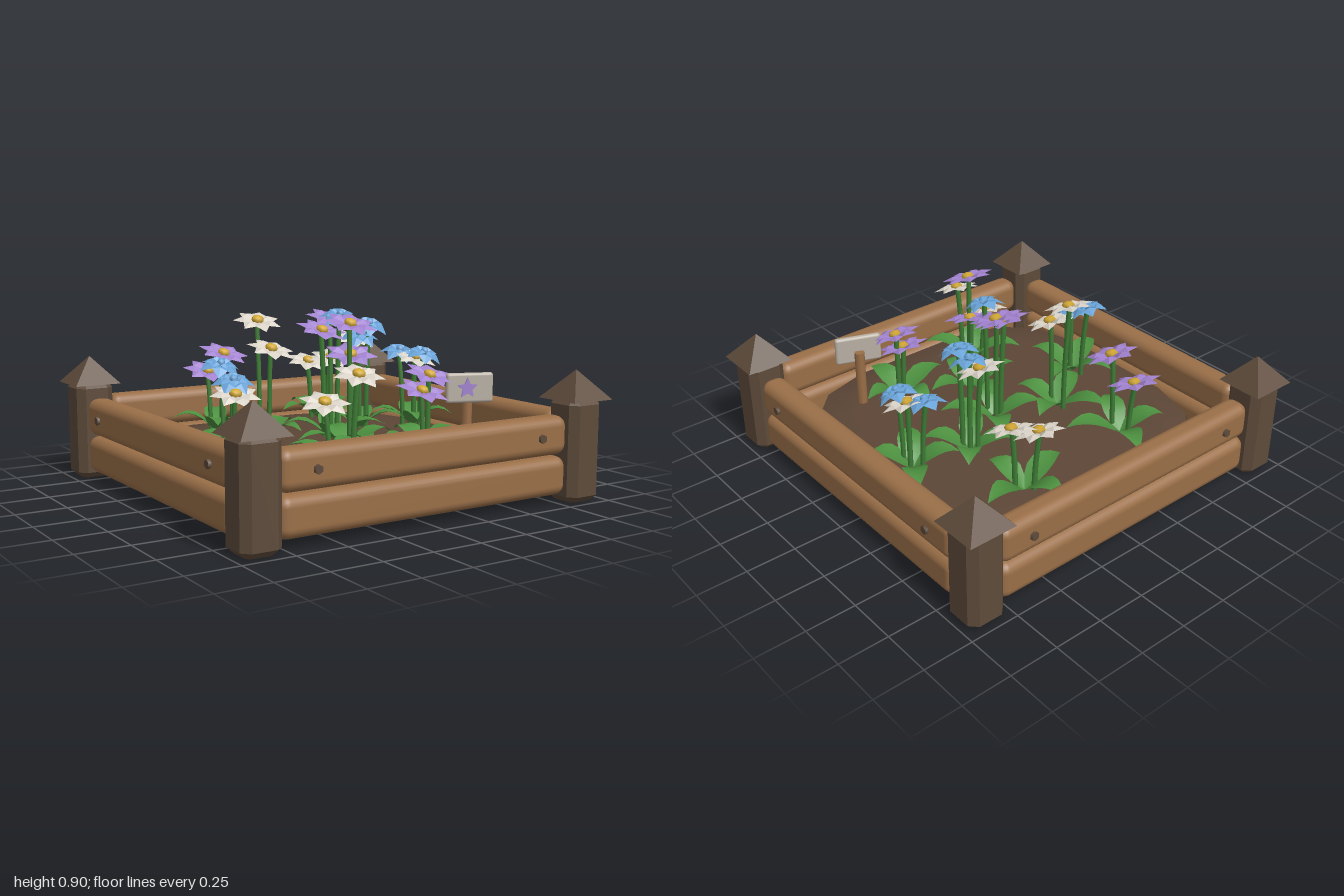
import * as THREE from 'three';
import { RoundedBoxGeometry } from 'three/addons/geometries/RoundedBoxGeometry.js';

const material = (name, color, side = THREE.FrontSide) => {
  const m = new THREE.MeshStandardMaterial({ color, side });
  m.name = name;
  return m;
};
const mats = {
  wood: material('rail wood', 0x9a6f48),
  darkWood: material('dark post wood', 0x5e4b3b),
  soil: material('soil', 0x5c4636),
  leaf: material('leaf green', 0x4d9140, THREE.DoubleSide),
  stem: material('stem green', 0x3f7d36),
  white: material('white petals', 0xd9d2c7, THREE.DoubleSide),
  purple: material('purple petals', 0xa283d0, THREE.DoubleSide),
  blue: material('blue petals', 0x69a3d8, THREE.DoubleSide),
  yellow: material('yellow centre', 0xd3a935),
  sign: material('sign board grey', 0xb9b0a4),
};

function add(parent, name, geo, mat, x = 0, y = 0, z = 0) {
  const mesh = new THREE.Mesh(geo, mat);
  mesh.name = name;
  mesh.position.set(x, y, z);
  parent.add(mesh);
  return mesh;
}

function group(parent, name) {
  const g = new THREE.Group();
  g.name = name;
  parent.add(g);
  return g;
}

function buffer(positions, index) {
  const g = new THREE.BufferGeometry();
  g.setAttribute('position', new THREE.Float32BufferAttribute(positions, 3));
  if (index) g.setIndex(index);
  g.computeVertexNormals();
  return g;
}

// Rounded-square mound built from scaled superellipse rings
function soilGeometry() {
  const profile = [[0, 0], [0.86, 0], [0.98, 0.03], [1, 0.19], [0.985, 0.225], [0.8, 0.237], [0, 0.25]];
  const n = 16, pos = [], idx = [];
  const curve = (v) => 0.818 * Math.sign(v) * Math.abs(v) ** 0.55;
  profile.forEach(([s, y], i) => {
    for (let j = 0; j < n; j++) {
      const t = ((j + 0.5) / n) * Math.PI * 2;
      pos.push(s * curve(Math.cos(t)), y, s * curve(Math.sin(t)));
      if (i === profile.length - 1) continue;
      const a = i * n + j, b = i * n + ((j + 1) % n);
      idx.push(a, a + n, b, a + n, b + n, b);
    }
  });
  return buffer(pos, idx);
}

// Square post with chamfered edges
function postGeometry() {
  const h = 0.0675, c = 0.0475;
  const shape = new THREE.Shape([[h, -c], [h, c], [c, h], [-c, h], [-h, c], [-h, -c], [-c, -h], [c, -h]]
    .map(([x, y]) => new THREE.Vector2(x, y)));
  const g = new THREE.ExtrudeGeometry(shape, { depth: 0.44, bevelThickness: 0.03, bevelSize: 0.03, bevelSegments: 1 });
  return g.rotateX(-Math.PI / 2).translate(0, 0.03, 0);
}

// Ring of pointed, ridged petals
function petalGeometry(count, r, width, lift, tip) {
  const pos = [], axis = new THREE.Vector3(0, 1, 0);
  for (let k = 0; k < count; k++) {
    const p = (x, y, z) => new THREE.Vector3(x * r, y * r, z * r).applyAxisAngle(axis, (k / count) * Math.PI * 2);
    const C = p(0, 0, 0), L = p(0.58, lift, width), R = p(0.58, lift, -width), M = p(0.55, lift + 0.1, 0), T = p(1, tip, 0);
    for (const v of [C, L, M, C, M, R, L, T, M, M, T, R]) pos.push(v.x, v.y, v.z);
  }
  return buffer(pos);
}

// Arched, folded leaf of unit length along +x
function leafGeometry() {
  const pos = [], idx = [], steps = 6;
  for (let i = 0; i <= steps; i++) {
    const t = i / steps, w = 0.21 * Math.sin(Math.PI * t ** 0.8), y = 0.42 * Math.sin(t * 2.3);
    pos.push(t, y + w * 0.25, w, t, y, 0, t, y + w * 0.25, -w);
    if (i === steps) continue;
    for (const a of [i * 3, i * 3 + 1]) idx.push(a, a + 3, a + 4, a, a + 4, a + 1);
  }
  return buffer(pos, idx);
}

// Returns a function that plants a clump: direction of its first leaf in degrees, then heads [colour, x, y, z]
function planter(model) {
  const petals = {
    white: [petalGeometry(7, 0.125, 0.29, 0.06, 0)],
    purple: [petalGeometry(7, 0.135, 0.3, 0.08, 0.06)],
    blue: [petalGeometry(6, 0.105, 0.36, 0.04, -0.22), petalGeometry(6, 0.07, 0.36, 0.3, 0.2).rotateY(0.5)],
  };
  const eye = new THREE.SphereGeometry(0.034, 6, 4).scale(1, 0.6, 1);
  const blueEye = new THREE.SphereGeometry(0.022, 6, 4);
  const leaf = leafGeometry();
  let turn = 0;
  return (leafAngle, ...heads) => {
    const clump = group(model, 'flowerClump');
    const root = new THREE.Vector3(0, 0.22, 0);
    for (const [, x, , z] of heads) root.add(new THREE.Vector3(x / heads.length, 0, z / heads.length));

    // Stems and heads, tipped towards the front
    for (const [colour, x, y, z] of heads) {
      const base = new THREE.Vector3(x, 0.22, z).lerp(root, 0.3);
      const mid = new THREE.Vector3(base.x, (base.y + y) / 2, base.z);
      const path = new THREE.QuadraticBezierCurve3(base, mid, new THREE.Vector3(x, y, z - 0.005));
      add(clump, 'stem', new THREE.TubeGeometry(path, 6, 0.013, 6), mats.stem);
      const head = group(clump, 'flowerHead');
      head.position.set(x, y, z);
      head.rotation.set(0.33, 0, -0.1 * Math.sin(turn * 2.1));
      for (const g of petals[colour]) add(head, 'petals', g, mats[colour]).rotation.y = turn;
      if (colour === 'blue') add(head, 'flowerCentre', blueEye, mats.blue, 0, 0.015, 0);
      else add(head, 'flowerCentre', eye, mats.yellow, 0, 0.013, 0);
      turn += 0.7;
    }

    // Four leaves around the root, kept inside the rails
    for (let k = 0; k < 4; k++) {
      const angle = THREE.MathUtils.degToRad(leafAngle + k * 90);
      const reach = 0.25 + 0.03 * Math.sin(k * 2 + turn);
      const dx = THREE.MathUtils.clamp(root.x + reach * Math.cos(angle), -0.8, 0.8) - root.x;
      const dz = THREE.MathUtils.clamp(root.z + reach * Math.sin(angle), -0.8, 0.8) - root.z;
      const blade = add(clump, 'leaf', leaf, mats.leaf, root.x, 0.235, root.z);
      blade.rotation.y = -Math.atan2(dz, dx);
      blade.scale.set(Math.hypot(dx, dz), 0.23, 0.29);
    }
  };
}

export function createModel() {
  const model = new THREE.Group();
  model.name = 'flowerBed';
  add(model, 'soil', soilGeometry(), mats.soil);

  // Corner posts with pyramid caps
  const post = postGeometry();
  const cap = new THREE.ConeGeometry(0.243 / Math.SQRT2, 0.14, 4).rotateY(Math.PI / 4).toNonIndexed();
  cap.computeVertexNormals();
  for (const x of [-0.8785, 0.8785]) for (const z of [-0.8785, 0.8785]) {
    add(model, 'cornerPost', post, mats.darkWood, x, 0, z);
    add(model, 'postCap', cap, mats.darkWood, x, 0.56, z);
  }

  // Two rails and a pair of bolts on each side
  const rail = new RoundedBoxGeometry(1.57, 0.187, 0.13, 3, 0.05);
  const bolt = new THREE.CylinderGeometry(0.021, 0.021, 0.03, 6).rotateX(Math.PI / 2);
  for (let i = 0; i < 4; i++) {
    const side = group(model, 'fenceSide');
    side.rotation.y = (i * Math.PI) / 2;
    add(side, 'lowerRail', rail, mats.wood, 0, 0.135, 0.875);
    add(side, 'upperRail', rail, mats.wood, 0, 0.33, 0.875);
    for (const x of [-0.613, 0.613]) add(side, 'bolt', bolt, mats.darkWood, x, 0.33, 0.94);
  }

  // Flower clumps, back to front
  const plant = planter(model);
  plant(25, ['purple', -0.34, 0.54, -0.58], ['purple', -0.32, 0.645, -0.44]);
  plant(-10, ['white', 0.295, 0.55, -0.61], ['white', 0.4, 0.57, -0.54]);
  plant(65, ['white', -0.255, 0.83, -0.195], ['white', -0.25, 0.7, -0.07]);
  plant(70, ['blue', -0.56, 0.65, -0.01], ['blue', -0.55, 0.585, 0.1], ['white', -0.575, 0.53, 0.165]);
  plant(30, ['purple', 0.1, 0.83, -0.07], ['purple', 0.02, 0.78, -0.03], ['blue', 0.07, 0.86, 0.06]);
  plant(5, ['purple', 0.02, 0.685, 0.23], ['purple', -0.06, 0.845, 0.345]);
  plant(40, ['white', 0.32, 0.71, -0.22], ['blue', 0.37, 0.79, -0.12], ['blue', 0.33, 0.73, -0.15]);
  plant(30, ['blue', 0.61, 0.63, -0.18], ['blue', 0.66, 0.63, -0.03], ['white', 0.655, 0.6, -0.1]);
  plant(45, ['white', -0.305, 0.515, 0.51], ['white', -0.19, 0.645, 0.61]);
  plant(-5, ['purple', 0.315, 0.59, 0.47], ['purple', 0.28, 0.515, 0.46]);

  // Small sign with a star on a stake
  const sign = group(model, 'sign');
  sign.position.set(0.48, 0.535, 0.57);
  sign.rotation.y = -0.36;
  add(sign, 'signBoard', new RoundedBoxGeometry(0.235, 0.145, 0.032, 2, 0.014), mats.sign);
  add(sign, 'signStake', new THREE.CylinderGeometry(0.026, 0.026, 0.32, 8), mats.wood, 0, -0.165, -0.03);
  const star = new THREE.Shape(Array.from({ length: 10 }, (_, i) => {
    const r = i % 2 ? 0.025 : 0.052, a = Math.PI / 2 + (i * Math.PI) / 5;
    return new THREE.Vector2(r * Math.cos(a), r * Math.sin(a));
  }));
  add(sign, 'star', new THREE.ExtrudeGeometry(star, { depth: 0.008, bevelEnabled: false }), mats.purple, -0.015, 0, 0.015);
  return model;
}
